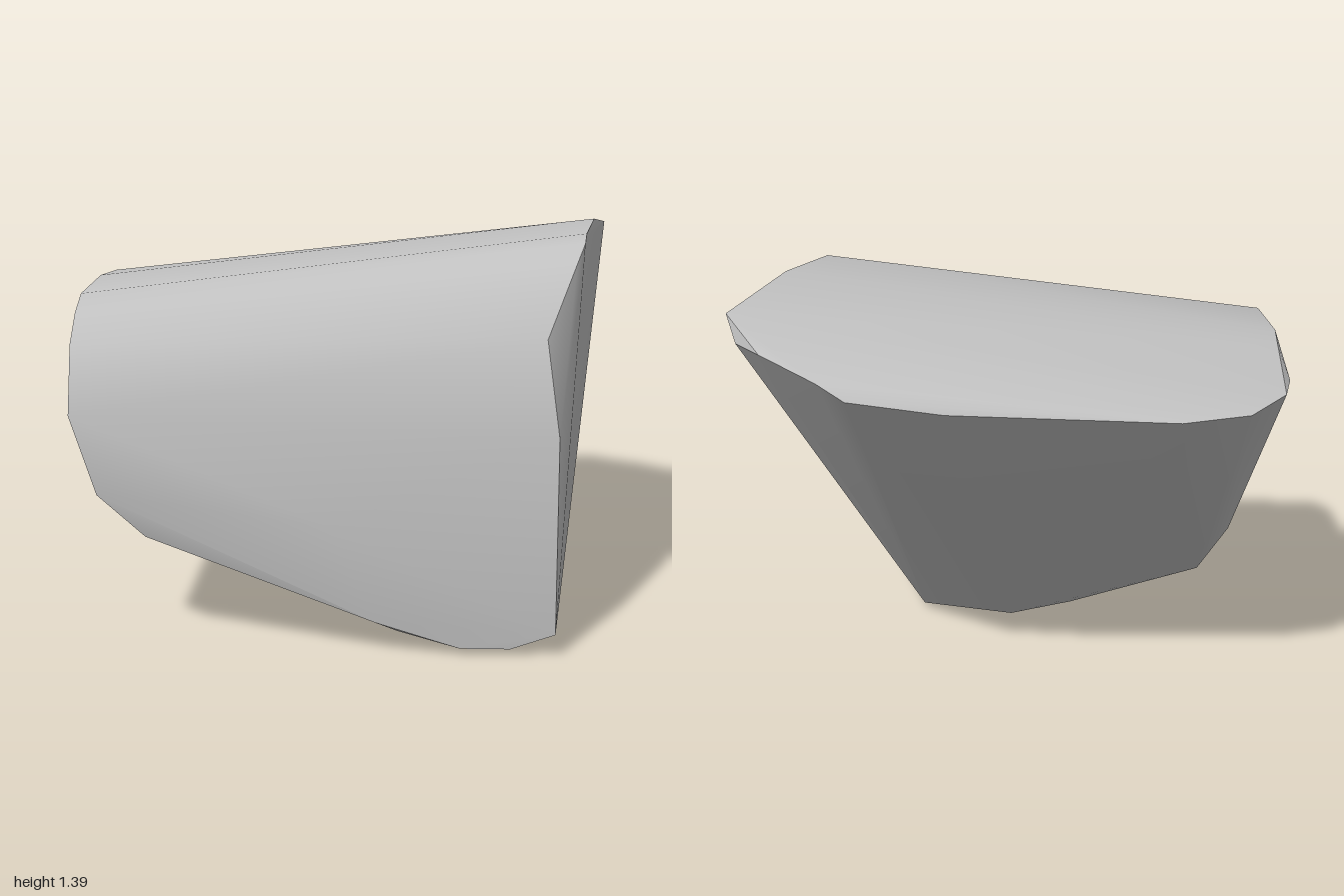
import * as THREE from 'three';
import { ConvexGeometry } from 'three/addons/geometries/ConvexGeometry.js';
import { toCreasedNormals } from 'three/addons/utils/BufferGeometryUtils.js';

export function createModel() {
  const stone = new THREE.MeshStandardMaterial({ color: 0xc0c0c0 });
  stone.name = 'grey stone';

  // corners of the boulder, grouped by the rim they belong to
  const topRightEdge = [[0.79, 1.38, 0.49], [0.88, 1.39, 0.05], [1, 1.33, -0.47]];
  const backRim = [
    [0.95, 1.245, -0.57], [0.84, 1.24, -0.72], [0.62, 1.19, -0.91], [0.52, 1.14, -0.955],
    [0.2, 1.1, -0.955], [-0.57, 1.07, -0.92], [-0.8, 1.08, -0.85],
  ];
  const leftRim = [
    [-0.94, 1.1, -0.65], [-0.98, 1.1, -0.45], [-1, 1.03, -0.22], [-0.97, 1.165, -0.18],
    [-0.99, 1.175, 0.05], [-0.98, 1.17, 0.5], [-0.98, 1.12, 0.62], [-0.98, 1.03, 0.73], [-0.98, 0.8, 0.81],
  ];
  const frontRightEdge = [
    [0.775, 1.355, 0.57], [0.735, 1.29, 0.66], [0.62, 1.07, 0.86], [0.66, 0.75, 0.925], [0.66, 0.08, 0.955],
  ];
  const frontFoot = [
    [-0.89, 0.53, 0.83], [-0.73, 0.38, 0.82], [-0.1, 0.45, 0.93],
    [0.05, 0.115, 0.93], [0.13, 0.08, 0.92], [0.34, 0.025, 0.94], [0.51, 0.025, 0.945],
  ];
  const base = [
    [0.375, 0.02, 0.08], [0.02, 0, 0.03], [-0.22, 0.05, 0.04], [-0.71, 0.26, -0.11], [-0.82, 0.44, -0.15],
  ];

  const points = [topRightEdge, backRim, leftRim, frontRightEdge, frontFoot, base]
    .flat()
    .map((p) => new THREE.Vector3(...p));

  // soft rounding across shallow bends, crisp breaks elsewhere
  const geometry = toCreasedNormals(new ConvexGeometry(points), 0.6);
  const boulder = new THREE.Mesh(geometry, stone);
  boulder.name = 'boulder';

  const group = new THREE.Group();
  group.name = 'rock';
  group.add(boulder);
  return group;
}
